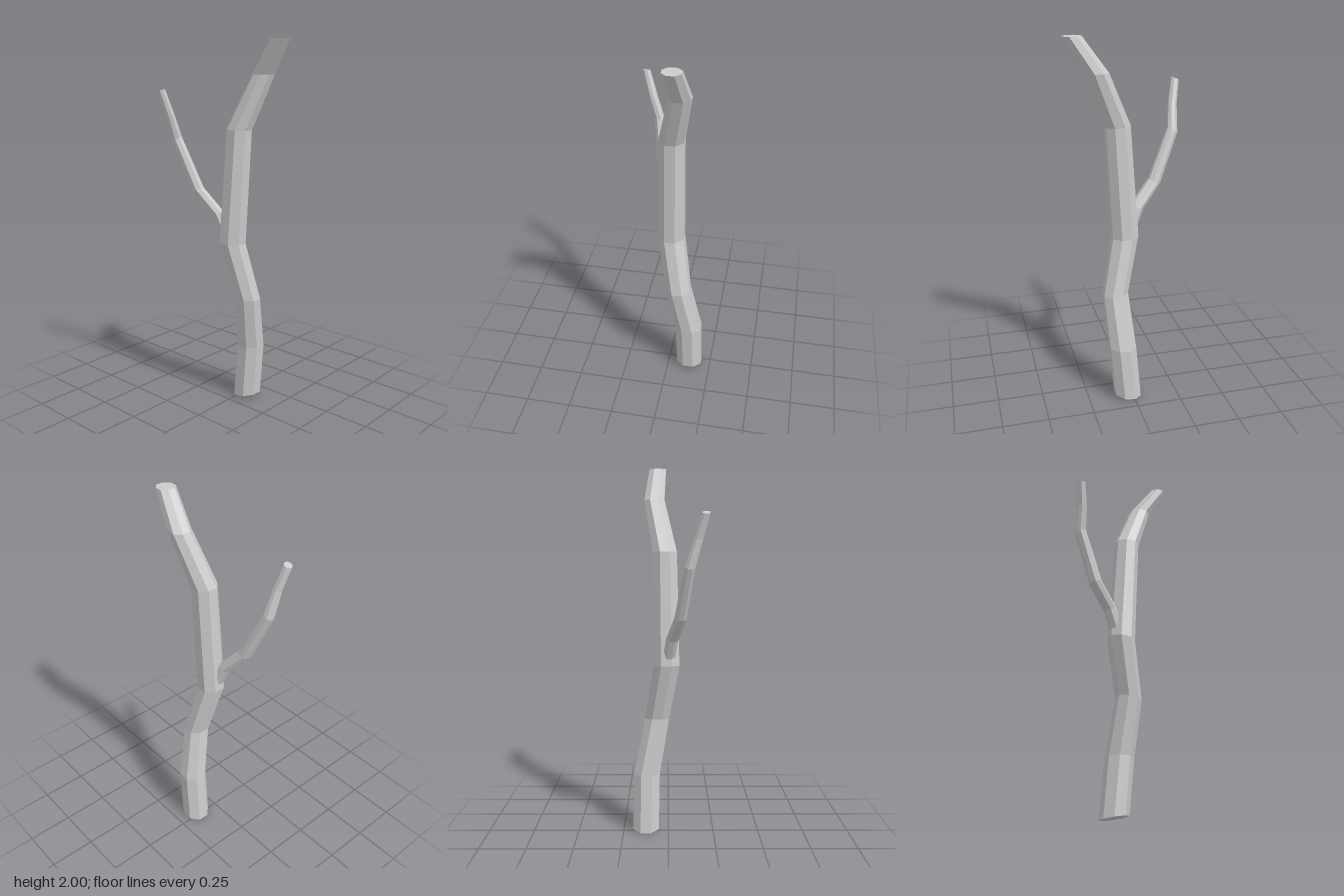
import * as THREE from 'three';

const SIDES = 8;
const material = new THREE.MeshStandardMaterial({ color: 0xcccccc, flatShading: true });

// Tapered limb with closed ends; each ring is [x, y, z, half width, slope along x]
function limb(name, rings) {
  const points = [], index = [];
  for (const [x, y, z, half, slope] of rings) {
    const r = half / Math.cos(Math.PI / SIDES);
    for (let j = 0; j < SIDES; j++) {
      const a = ((j + 0.5) / SIDES) * Math.PI * 2;
      const dx = r * Math.cos(a);
      points.push(x + dx, y + slope * dx, z + r * Math.sin(a));
    }
  }
  for (let i = 0; i < rings.length - 1; i++) {
    for (let j = 0; j < SIDES; j++) {
      const a = i * SIDES + j, b = i * SIDES + (j + 1) % SIDES;
      index.push(a, a + SIDES, b, b, a + SIDES, b + SIDES);
    }
  }
  // End caps
  const top = (rings.length - 1) * SIDES;
  for (let j = 1; j < SIDES - 1; j++) {
    index.push(0, j, j + 1, top, top + j + 1, top + j);
  }
  const indexed = new THREE.BufferGeometry();
  indexed.setAttribute('position', new THREE.Float32BufferAttribute(points, 3));
  indexed.setIndex(index);
  const geometry = indexed.toNonIndexed();
  geometry.computeVertexNormals();
  const mesh = new THREE.Mesh(geometry, material);
  mesh.name = name;
  return mesh;
}

export function createModel() {
  const group = new THREE.Group();
  group.name = 'bareTree';

  // Crooked trunk
  group.add(limb('trunk', [
    [0.03, 0.013, -0.125, 0.072, 0.17],
    [0.057, 0.32, -0.12, 0.072, 0.05],
    [0.083, 0.625, -0.062, 0.066, -0.1],
    [0.016, 0.935, -0.01, 0.07, -0.07],
    [0.055, 1.545, -0.018, 0.064, -0.05],
    [0.168, 1.825, -0.076, 0.055, 0],
    [0.285, 2, -0.058, 0.046, 0],
  ]));

  // Thin side branch, rooted inside the trunk
  group.add(limb('branch', [
    [-0.01, 0.97, 0.0, 0.034, 0.3],
    [-0.06, 1.085, 0.02, 0.032, 0.35],
    [-0.168, 1.21, 0.063, 0.031, 0.4],
    [-0.278, 1.475, 0.107, 0.027, 0.45],
    [-0.288, 1.61, 0.147, 0.023, 0.1],
    [-0.312, 1.737, 0.184, 0.02, 0.35],
  ]));

  return group;
}
